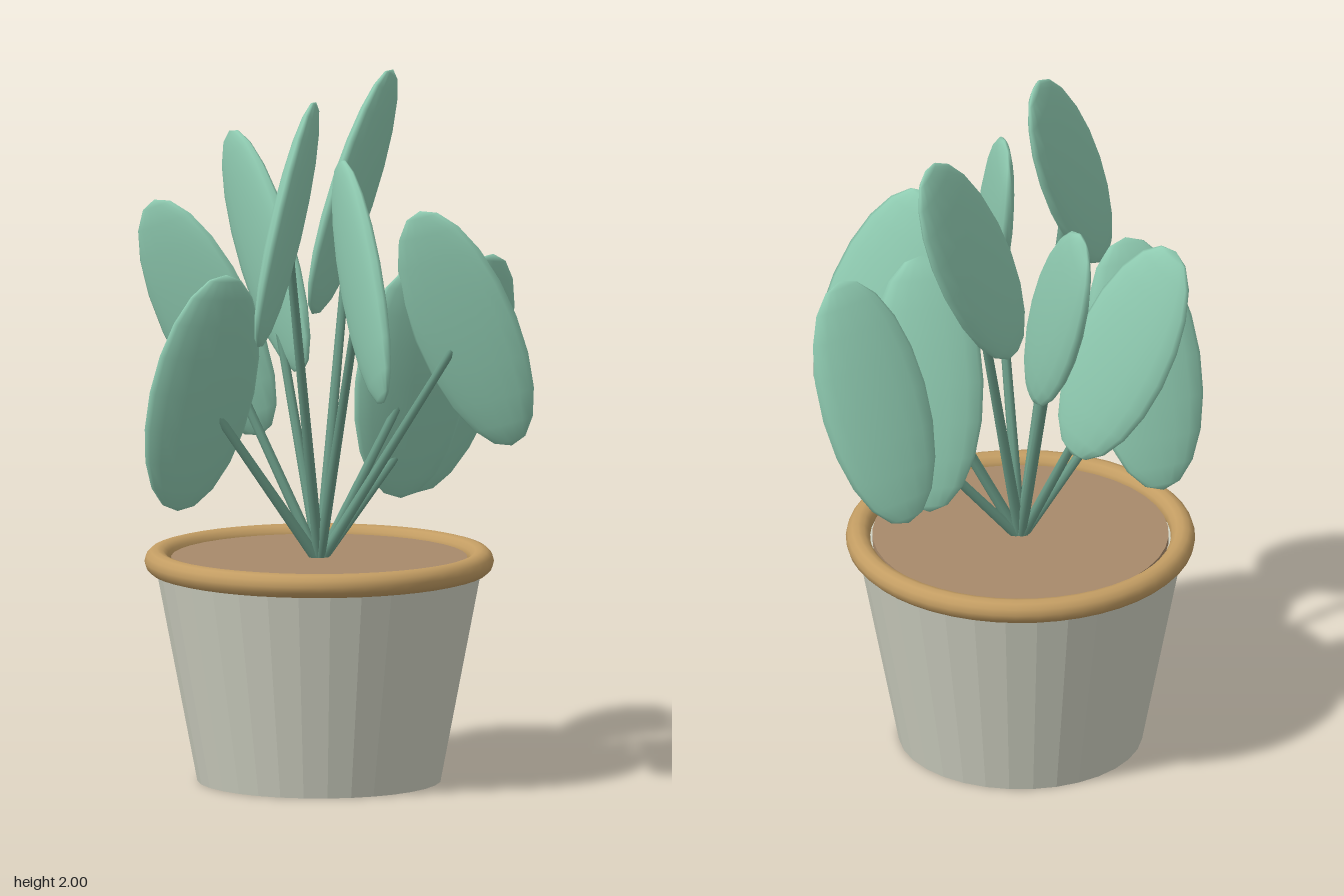
import * as THREE from 'three';

const paint = (name, color, flatShading = false) => {
  const m = new THREE.MeshStandardMaterial({ color, flatShading });
  m.name = name;
  return m;
};

export function createModel() {
  const model = new THREE.Group();
  model.name = 'pottedPlant';
  const clay = paint('pale clay', 0xcfd1c2, true);
  const tan = paint('tan rim', 0xc39d63);
  const earth = paint('brown soil', 0xa88a6b);
  const green = paint('leaf green', 0x8fcbb1);
  const stalk = paint('stem green', 0x6a9a86);

  const add = (name, geometry, material, x, y, z) => {
    const mesh = new THREE.Mesh(geometry, material);
    mesh.name = name;
    mesh.position.set(x, y, z);
    model.add(mesh);
    return mesh;
  };

  // Tapered pot, rounded rim and soil share one axis
  const px = -0.04, pz = -0.015;
  add('pot', new THREE.CylinderGeometry(0.47, 0.35, 0.625, 32), clay, px, 0.3125, pz);
  const ring = new THREE.TorusGeometry(0.466, 0.035, 12, 48).rotateX(Math.PI / 2);
  add('rim', ring, tan, px, 0.635, pz);
  add('soil', new THREE.CylinderGeometry(0.425, 0.425, 0.04, 40), earth, px, 0.626, pz);

  // Leaf centres in growing order, each turned by the golden angle
  const centres = [
    [0.233, 1.145, -0.02], [-0.315, 1.32, -0.225], [0.0, 1.49, 0.3],
    [0.127, 1.66, -0.265], [-0.403, 1.145, 0.04], [0.348, 1.32, 0.16],
    [-0.115, 1.49, -0.32], [-0.212, 1.66, 0.265], [0.393, 1.145, -0.122],
  ];
  const leafShape = new THREE.SphereGeometry(1, 16, 10).scale(0.166, 0.374, 0.037);
  const base = new THREE.Vector3(px, 0.63, pz);
  const up = new THREE.Vector3(0, 1, 0);

  centres.forEach((c, i) => {
    const turn = i * 2.4 - (i ? 0.03 : 0);
    const leaf = add('leaf' + (i + 1), leafShape, green, ...c);
    leaf.rotation.set(0.3, turn, -0.83 * Math.sin(turn));

    // Straight stem from the soil to the middle of the leaf
    const along = new THREE.Vector3(...c).sub(base);
    const mid = base.clone().addScaledVector(along, 0.5);
    const stem = add('stem' + (i + 1),
      new THREE.CylinderGeometry(0.012, 0.016, along.length(), 8), stalk, mid.x, mid.y, mid.z);
    stem.quaternion.setFromUnitVectors(up, along.normalize());
  });
  return model;
}
